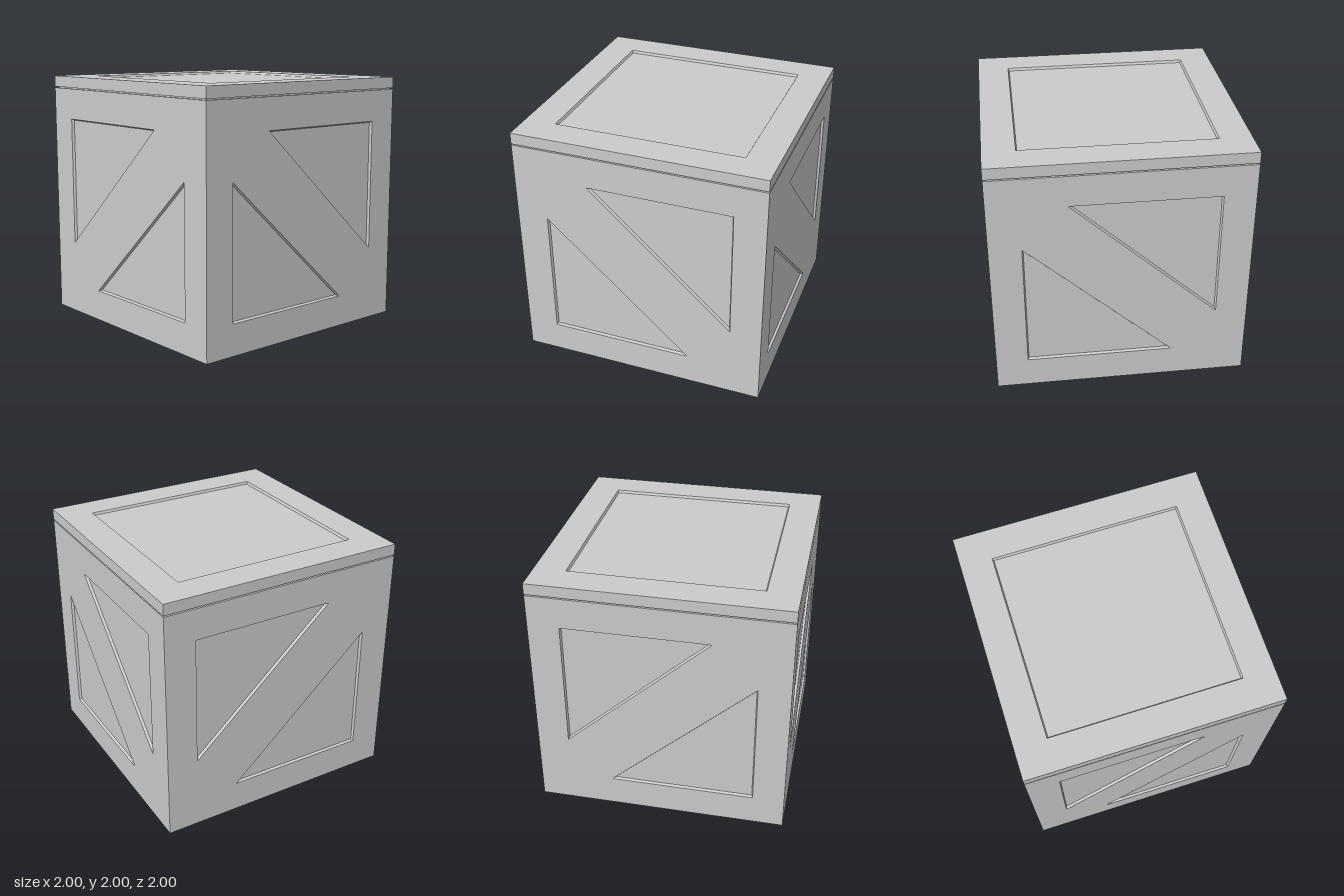
import * as THREE from 'three';

const DEPTH = 0.02, SLOPE = 0.01;
const BODY_TOP = 1.9, LID_BOTTOM = 1.91;
const mat = new THREE.MeshStandardMaterial({ color: 0xcccccc, flatShading: true });

const toPoints = (list) => list.map(([x, y]) => new THREE.Vector2(x, y));
const rect = (x0, y0, x1, y1) => toPoints([[x0, y0], [x1, y0], [x1, y1], [x0, y1]]);
const square = (h) => rect(-h, -h, h, h);

function addMesh(parent, name, geometry) {
  const mesh = new THREE.Mesh(geometry, mat);
  mesh.name = name;
  parent.add(mesh);
  return mesh;
}

// Shrink a counter-clockwise triangle or square evenly towards its incentre
function inset(pts, amount) {
  const n = pts.length, centre = new THREE.Vector2();
  let perimeter = 0;
  pts.forEach((p, i) => {
    // weight: opposite side for a triangle, equal sides for a square
    const len = pts[(i + 1) % n].distanceTo(pts[(i + 2) % n]);
    centre.addScaledVector(p, len);
    perimeter += len;
  });
  centre.divideScalar(perimeter);
  const radius = 2 * THREE.ShapeUtils.area(pts) / perimeter;
  return pts.map((p) => p.clone().sub(centre).multiplyScalar(1 - amount / radius).add(centre));
}

// Recess: sloping walls and a sunken floor
function pocketGeometry(pts) {
  const inner = inset(pts, SLOPE), v = [];
  const put = (p, z) => v.push(p.x, p.y, z);
  pts.forEach((a, i) => {
    const j = (i + 1) % pts.length;
    put(a, 0); put(pts[j], 0); put(inner[j], -DEPTH);
    put(a, 0); put(inner[j], -DEPTH); put(inner[i], -DEPTH);
  });
  for (let i = 1; i < inner.length - 1; i++) {
    put(inner[0], -DEPTH); put(inner[i], -DEPTH); put(inner[i + 1], -DEPTH);
  }
  const g = new THREE.BufferGeometry();
  g.setAttribute('position', new THREE.Float32BufferAttribute(v, 3));
  g.computeVertexNormals();
  return g;
}

// Flat panel facing +z with a recess behind each hole
function panel(name, outline, recesses) {
  const group = new THREE.Group();
  group.name = name;
  const shape = new THREE.Shape(outline);
  recesses.forEach((r) => shape.holes.push(new THREE.Path(r)));
  addMesh(group, name + 'Frame', new THREE.ShapeGeometry(shape));
  recesses.forEach((r) => addMesh(group, name + 'Recess', pocketGeometry(r)));
  return group;
}

export function createModel() {
  const crate = new THREE.Group();
  crate.name = 'crate';

  // Two triangular recesses either side of a diagonal brace
  const triangles = [
    toPoints([[-0.75, 1.65], [-0.75, 0.6], [0.4, 1.65]]),
    toPoints([[0.75, 0.25], [0.75, 1.3], [-0.4, 0.25]]),
  ];
  const mirrored = triangles.map((t) => t.map((p) => new THREE.Vector2(-p.x, p.y)).reverse());

  // Four sides with the edge of the lid above
  [
    ['frontSide', 0, triangles], ['leftSide', Math.PI / 2, mirrored],
    ['backSide', Math.PI, mirrored], ['rightSide', -Math.PI / 2, triangles],
  ].forEach(([name, angle, recesses]) => {
    const side = panel(name, rect(-1, 0, 1, BODY_TOP), recesses);
    side.rotation.y = angle;
    side.position.set(Math.sin(angle), 0, Math.cos(angle));
    addMesh(side, 'lidEdge', new THREE.ShapeGeometry(new THREE.Shape(rect(-1, LID_BOTTOM, 1, 2))));
    crate.add(side);
  });

  // Lid top and base, each with a square recess
  const lid = panel('lidTop', square(1), [square(0.75)]);
  lid.rotation.x = -Math.PI / 2;
  lid.position.y = 2;
  const base = panel('base', square(1), [square(0.75)]);
  base.rotation.x = Math.PI / 2;
  crate.add(lid, base);

  // Narrow groove between body and lid
  const ring = new THREE.Shape(square(1));
  ring.holes.push(new THREE.Path(square(0.98)));
  const bodyRim = addMesh(crate, 'bodyRim', new THREE.ShapeGeometry(ring));
  bodyRim.rotation.x = -Math.PI / 2;
  bodyRim.position.y = BODY_TOP;
  const lidRim = addMesh(crate, 'lidRim', new THREE.ShapeGeometry(ring));
  lidRim.rotation.x = Math.PI / 2;
  lidRim.position.y = LID_BOTTOM;
  const core = addMesh(crate, 'grooveCore', new THREE.BoxGeometry(1.96, LID_BOTTOM - BODY_TOP, 1.96));
  core.position.y = (BODY_TOP + LID_BOTTOM) / 2;

  return crate;
}
